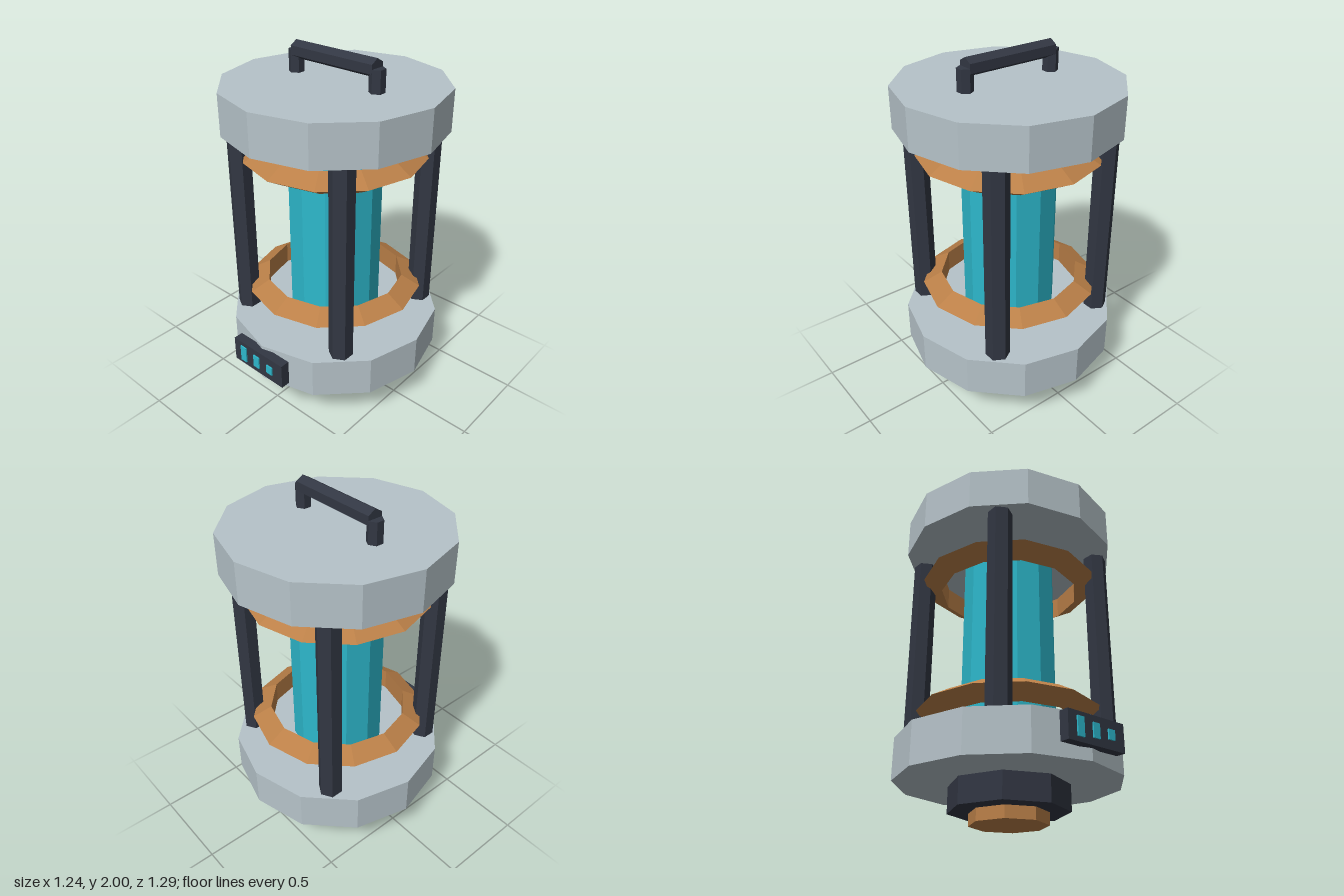
import * as THREE from 'three';

const AXIS_Z = -0.022; // centre line of the cylindrical body

function material(name, color) {
  const m = new THREE.MeshStandardMaterial({ color, flatShading: true });
  m.name = name;
  return m;
}

export function createModel() {
  const steel = material('paleSteel', 0xb6c3c9);
  const dark = material('darkMetal', 0x323743);
  const copper = material('copper', 0xbb8048);
  const cyan = material('cyanGlow', 0x2db8cc);

  const model = new THREE.Group();
  model.name = 'lantern';
  const body = new THREE.Group();
  body.name = 'body';
  body.position.z = AXIS_Z;
  model.add(body);

  function add(parent, name, geometry, mat, x = 0, y = 0, z = 0) {
    const mesh = new THREE.Mesh(geometry, mat);
    mesh.name = name;
    mesh.position.set(x, y, z);
    parent.add(mesh);
    return mesh;
  }

  // Upright prism between two heights
  function prism(name, radius, y0, y1, sides, mat, x = 0, z = 0) {
    const geometry = new THREE.CylinderGeometry(radius, radius, y1 - y0, sides);
    return add(body, name, geometry, mat, x, (y0 + y1) / 2, z);
  }

  // Stacked base, end plates and glowing core
  prism('foot', 0.215, 0, 0.067, 8, copper);
  prism('baseCollar', 0.33, 0.067, 0.212, 8, dark);
  prism('bottomPlate', 0.621, 0.212, 0.445, 12, steel);
  prism('topPlate', 0.621, 1.595, 1.828, 12, steel);
  prism('core', 0.27, 0.43, 1.61, 12, cyan);

  // Four hexagonal posts
  for (const x of [-0.37, 0.37]) {
    for (const z of [-0.37, 0.37]) prism('post', 0.068, 0.43, 1.61, 6, dark, x, z);
  }

  // Triangular-section rings around the core
  for (const y of [0.604, 1.433]) {
    const geometry = new THREE.TorusGeometry(0.442, 0.073, 3, 12);
    geometry.rotateX(Math.PI / 2);
    add(body, 'ring', geometry, copper, 0, y);
  }

  // Carrying handle
  for (const x of [-0.277, 0.277]) prism('handlePost', 0.0435, 1.82, 1.95, 6, dark, x);
  const bar = new THREE.CylinderGeometry(0.05, 0.05, 0.55, 6);
  bar.rotateY(Math.PI / 2); // edge uppermost once laid down
  bar.rotateZ(Math.PI / 2);
  add(body, 'handleBar', bar, dark, 0, 1.95);

  // Front panel with three indicator lights
  add(model, 'panel', new THREE.BoxGeometry(0.38, 0.15, 0.055), dark, 0, 0.35, 0.6075);
  [0.1, 0.077, 0.053].forEach((height, i) => {
    const light = new THREE.BoxGeometry(0.044, height, 0.009);
    add(model, 'indicatorLight', light, cyan, -0.112 + i * 0.104, 0.35, 0.6385);
  });

  return model;
}
